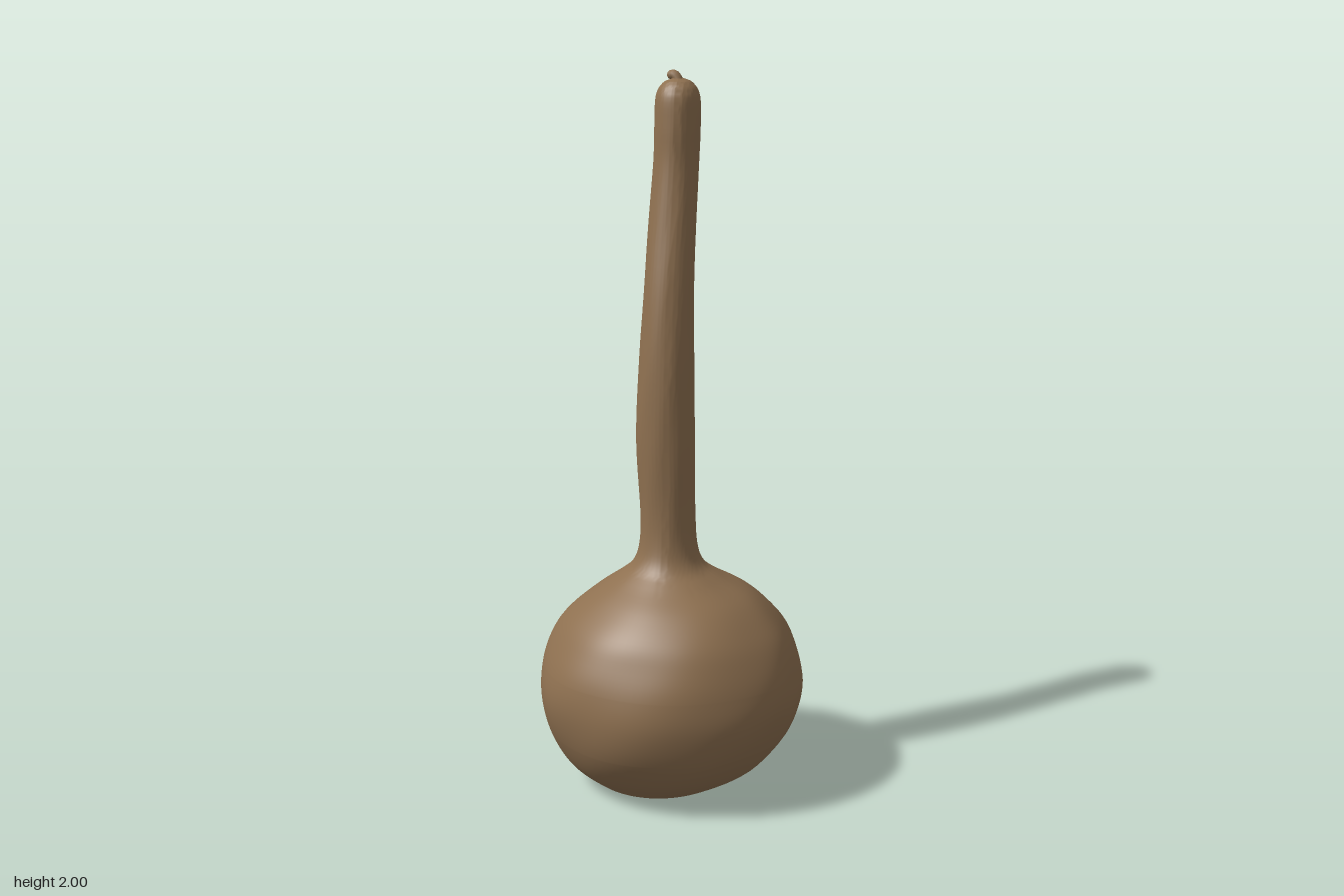
import * as THREE from 'three';
import { toCreasedNormals } from 'three/addons/utils/BufferGeometryUtils.js';

// Cross-sections from the base up: y, min x, max x, front z, back z
const SECTIONS = [
  [0, -0.2, 0.12, 0.17, -0.15],
  [0.02, -0.235, 0.17, 0.205, -0.19],
  [0.08, -0.305, 0.265, 0.275, -0.25],
  [0.17, -0.352, 0.335, 0.332, -0.318],
  [0.27, -0.374, 0.37, 0.355, -0.347],
  [0.36, -0.367, 0.365, 0.345, -0.353],
  [0.44, -0.335, 0.338, 0.312, -0.335],
  [0.5, -0.29, 0.295, 0.275, -0.295],
  [0.56, -0.22, 0.23, 0.21, -0.22],
  [0.61, -0.15, 0.14, 0.135, -0.145],
  [0.645, -0.112, 0.09, 0.093, -0.113],
  [0.7, -0.094, 0.068, 0.07, -0.1],
  [0.8, -0.092, 0.062, 0.06, -0.097],
  [1.0, -0.103, 0.06, 0.06, -0.1],
  [1.2, -0.098, 0.055, 0.05, -0.115],
  [1.4, -0.09, 0.047, 0.02, -0.125],
  [1.6, -0.085, 0.045, -0.025, -0.16],
  [1.75, -0.081, 0.043, -0.055, -0.195],
  [1.85, -0.08, 0.045, -0.063, -0.2],
  [1.93, -0.077, 0.043, -0.072, -0.2],
  [1.965, -0.058, 0.025, -0.092, -0.178],
  [1.978, -0.03, 0, -0.115, -0.15],
];
const LAST = SECTIONS.length - 1;

// Recessed panel on the back: section indices and angles about the body
const PANEL = { row0: 3, row1: 5, a0: 164, a1: 204, scale: 0.92 };

// Evenly spaced values with a tight pair added at each sharp edge
function stations(max, steps, edges, gap) {
  const list = Array.from({ length: steps + 1 }, (_, i) => (i * max) / steps)
    .filter((v) => edges.every((e) => Math.abs(v - e) > gap * 2));
  for (const e of edges) list.push(e - gap, e + gap);
  return list.sort((a, b) => a - b);
}

function gourdGeometry() {
  const curve = (a, b) => new THREE.CatmullRomCurve3(
    SECTIONS.map((s) => new THREE.Vector3(s[a], s[0], s[b])), false, 'catmullrom', 0.5);
  const across = curve(1, 2), along = curve(3, 4);
  const rows = stations(LAST, LAST * 5, [PANEL.row0, PANEL.row1], 0.015);
  const cols = stations(360, 90, [PANEL.a0, PANEL.a1], 0.2);
  const pos = [], index = [];

  const ring = (t, size) => {
    const p = across.getPoint(t / LAST), q = along.getPoint(t / LAST), y = p.y;
    const cx = (p.x + p.z) / 2, rx = (p.z - p.x) / 2;
    const cz = (q.x + q.z) / 2, rz = (q.x - q.z) / 2;
    const fade = Math.min(1, y * 8);
    for (const deg of cols) {
      const a = THREE.MathUtils.degToRad(deg);
      // gentle unevenness of the skin, rougher at the back
      const back = 0.5 - 0.5 * Math.cos(a);
      let k = 1 + fade * (0.006 * Math.sin(3 * a + 11 * y) + 0.005 * Math.sin(7 * a - 17 * y)
        + 0.008 * back * Math.sin(11 * a + 5 * y) * Math.sin(23 * y));
      if (t > PANEL.row0 && t < PANEL.row1 && deg > PANEL.a0 && deg < PANEL.a1) k *= PANEL.scale;
      pos.push(cx + rx * size * k * Math.sin(a), y, cz + rz * size * k * Math.cos(a));
    }
  };
  ring(0, 0);
  rows.forEach((t) => ring(t, 1));
  ring(LAST, 0);

  const n = cols.length;
  for (let i = 0; i < rows.length + 1; i++) {
    for (let j = 0; j < n - 1; j++) {
      const a = i * n + j, d = a + n;
      index.push(a, a + 1, d + 1, a, d + 1, d);
    }
  }
  const geo = new THREE.BufferGeometry();
  geo.setAttribute('position', new THREE.Float32BufferAttribute(pos, 3));
  geo.setIndex(index);
  return toCreasedNormals(geo, 0.7);
}

export function createModel() {
  const group = new THREE.Group();
  group.name = 'gourd';
  const skin = new THREE.MeshStandardMaterial({ color: 0x8e7050 });
  skin.name = 'dried brown skin';

  // Bulb and long bent neck
  const body = new THREE.Mesh(gourdGeometry(), skin);
  body.name = 'bulbAndNeck';
  group.add(body);

  // Small hooked stalk on the tip
  const path = new THREE.CatmullRomCurve3([
    new THREE.Vector3(-0.012, 1.96, -0.132),
    new THREE.Vector3(-0.018, 1.977, -0.135),
    new THREE.Vector3(-0.027, 1.987, -0.138),
    new THREE.Vector3(-0.036, 1.986, -0.142),
  ]);
  const stalk = new THREE.Mesh(new THREE.TubeGeometry(path, 10, 0.013, 10), skin);
  stalk.name = 'stalk';
  const tip = new THREE.Mesh(new THREE.SphereGeometry(0.013, 12, 8), skin);
  tip.name = 'stalkTip';
  tip.position.copy(path.getPoint(1));
  group.add(stalk, tip);
  return group;
}
